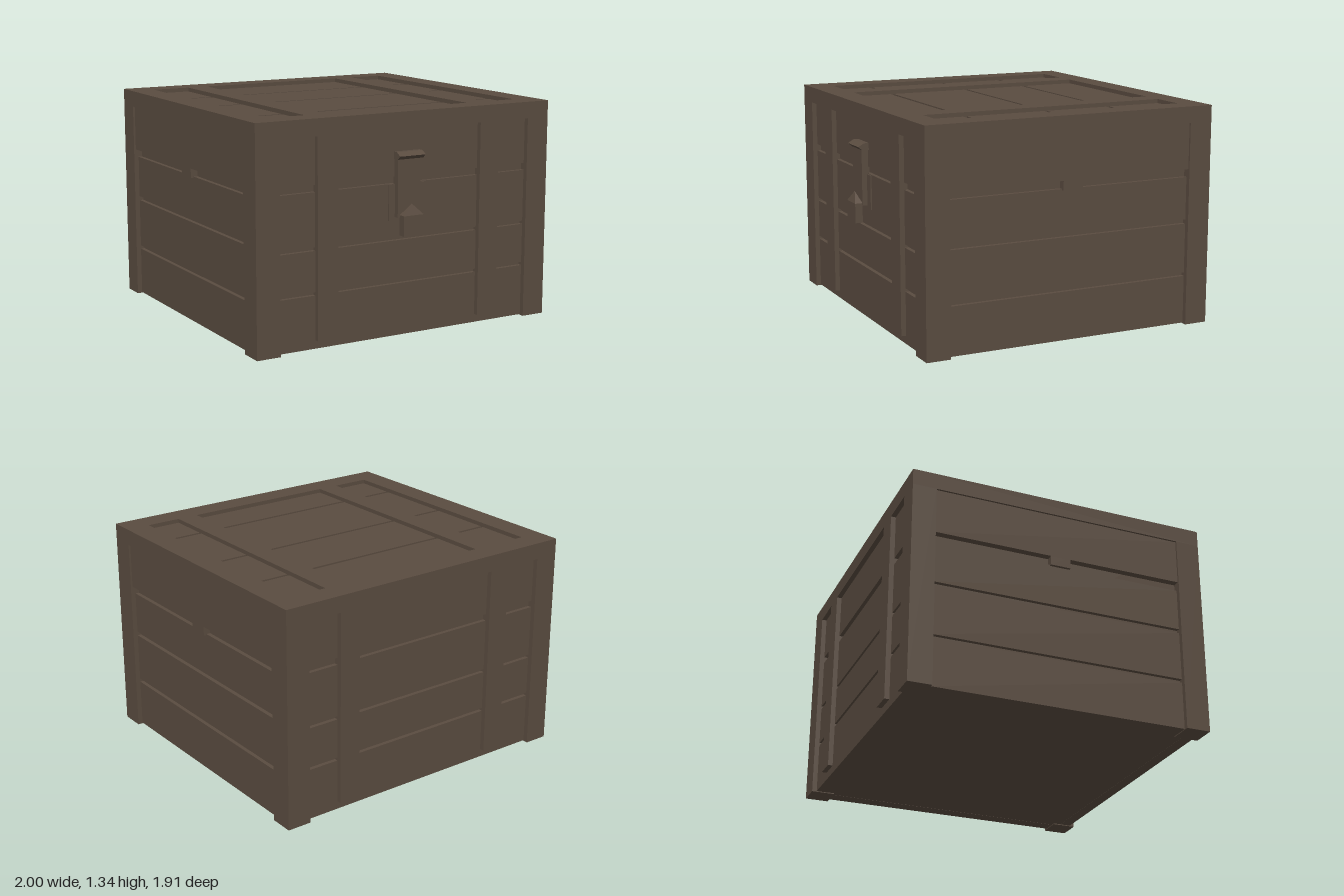
import * as THREE from 'three';

const wood = new THREE.MeshStandardMaterial({ color: 0x5a4c40 });
wood.name = 'brown wood';

// Overall crate limits
const X = 1, BACK = -0.955, FRONT = 0.9, TOP = 1.335;
const POST_X = 0.85, IN_BACK = -0.81, IN_FRONT = 0.75, RIM = 1.235;
const RECESS = 0.03, GROOVE = 0.055;

export function createModel() {
  const crate = new THREE.Group();
  crate.name = 'crate';

  const add = (name, geometry) => {
    const mesh = new THREE.Mesh(geometry, wood);
    mesh.name = name;
    crate.add(mesh);
    return mesh;
  };
  // Box given by its limits on each axis
  const box = (name, x0, x1, y0, y1, z0, z1) =>
    add(name, new THREE.BoxGeometry(x1 - x0, y1 - y0, z1 - z0)
      .translate((x0 + x1) / 2, (y0 + y1) / 2, (z0 + z1) / 2));

  // Inner body, seen only at the bottom of the gaps
  box('innerBody', -X + GROOVE, X - GROOVE, 0.006, TOP - 0.045, BACK + GROOVE, FRONT - GROOVE);

  // Corner posts
  for (const s of [-1, 1]) {
    const [a, b] = s < 0 ? [-X, -POST_X] : [POST_X, X];
    box('cornerPost', a, b, 0, RIM, IN_FRONT, FRONT);
    box('cornerPost', a, b, 0, RIM, BACK, IN_BACK);
  }

  // Lid rim: a square ring around the top
  const ring = new THREE.Shape([
    new THREE.Vector2(-X, -FRONT), new THREE.Vector2(X, -FRONT),
    new THREE.Vector2(X, -BACK), new THREE.Vector2(-X, -BACK)]);
  ring.holes.push(new THREE.Path([
    new THREE.Vector2(-POST_X, -IN_FRONT), new THREE.Vector2(-POST_X, -IN_BACK),
    new THREE.Vector2(POST_X, -IN_BACK), new THREE.Vector2(POST_X, -IN_FRONT)]));
  add('lidRim', new THREE.ExtrudeGeometry(ring, { depth: TOP - RIM, bevelEnabled: false })
    .rotateX(-Math.PI / 2).translate(0, RIM, 0));

  // Front and back planks
  for (const [y0, y1] of [[0.005, 0.318], [0.338, 0.578], [0.598, 0.915], [0.957, RIM]]) {
    box('frontPlank', -POST_X, POST_X, y0, y1, 0.8, FRONT - RECESS);
    box('backPlank', -POST_X, POST_X, y0, y1, BACK + RECESS, -0.85);
  }

  // Side planks; the lid plank sits nearly flush
  for (const [y0, y1, d] of [[0.005, 0.298, 0.03], [0.32, 0.622, 0.03], [0.648, 0.907, 0.03], [0.957, RIM, 0.012]]) {
    box('leftPlank', 0.88, X - d, y0, y1, IN_BACK, IN_FRONT);
    box('rightPlank', -X + d, -0.88, y0, y1, IN_BACK, IN_FRONT);
  }
  // Small hinge blocks bridging the lid gap on both sides
  box('sideBlock', 0.9, X - 0.012, 0.9, 0.975, -0.09, 0.035);
  box('sideBlock', -X + 0.012, -0.9, 0.9, 0.975, -0.09, 0.035);

  // Top planks
  for (const [z0, z1] of [[IN_BACK, -0.465], [-0.445, -0.042], [-0.022, 0.478], [0.5, IN_FRONT]])
    box('topPlank', -POST_X, POST_X, RIM, TOP - 0.025, z0, z1);

  // Straps over the lid and down the front and back
  for (const [x0, x1] of [[-0.61, -0.475], [0.5, 0.635]]) {
    box('topStrap', x0, x1, RIM, TOP, IN_BACK, IN_FRONT);
    box('frontStrap', x0, x1, 0.055, RIM, 0.85, FRONT);
    box('backStrap', x0, x1, 0.055, RIM, BACK, -0.9);
  }

  // Latch: backing plate, hasp and its lip
  box('latchPlate', -0.125, 0.125, 0.7, 0.912, 0.85, 0.878);
  box('hasp', -0.085, 0.07, 0.72, 1.08, 0.86, 0.91);
  const lip = new THREE.Shape([
    new THREE.Vector2(0.86, 1.06), new THREE.Vector2(0.91, 1.06),
    new THREE.Vector2(0.937, 1.082), new THREE.Vector2(0.9, 1.103), new THREE.Vector2(0.86, 1.103)]);
  add('latchLip', new THREE.ExtrudeGeometry(lip, { depth: 0.175, bevelEnabled: false })
    .rotateY(-Math.PI / 2).translate(0.087, 0, 0));

  // Padlock: block with a pointed shackle
  box('padlock', -0.07, 0.065, 0.615, 0.735, 0.908, 0.955);
  add('shackle', new THREE.ConeGeometry(Math.SQRT1_2, 0.065, 4, 1).toNonIndexed()
    .rotateY(Math.PI / 4).scale(0.135, 1, 0.047).translate(-0.0025, 0.7675, 0.9315))
    .geometry.computeVertexNormals();

  return crate;
}
